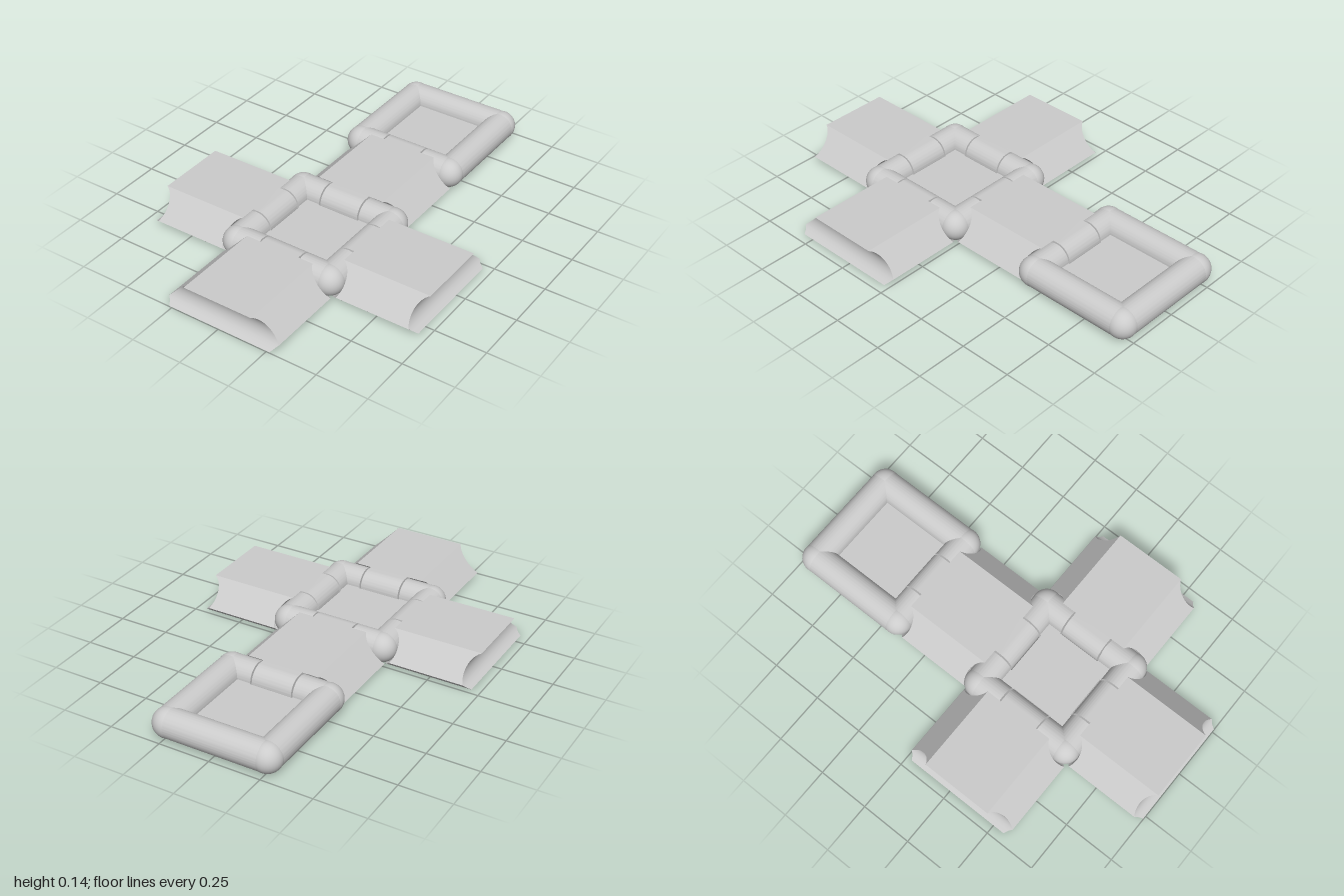
import * as THREE from 'three';
import { toCreasedNormals } from 'three/addons/utils/BufferGeometryUtils.js';

const R = 0.07;        // hinge tube radius, also half the thickness
const GAP = 0.075;     // clearance radius round a tube
const C = 0.245;       // frame centre to tube axis
const FAR = 0.733;     // frame centre to the outer hinge axis
const mat = new THREE.MeshStandardMaterial({ color: 0xcccccc });

function add(parent, name, geo) {
  const mesh = new THREE.Mesh(geo, mat);
  mesh.name = name;
  parent.add(mesh);
  return mesh;
}

// Extrudes an (outward, up) profile along z from z0 to z1
function bar(shape, z0, z1) {
  const geo = new THREE.ExtrudeGeometry(shape, { depth: z1 - z0, bevelEnabled: false, curveSegments: 28 });
  geo.translate(0, 0, z0);
  return toCreasedNormals(geo, 0.5);
}

// Tube with the edge of the floor joined to its inner side
function railShape() {
  const s = new THREE.Shape();
  s.moveTo(0.165, 0);
  s.lineTo(C, 0);
  s.absarc(C, R, R, -Math.PI / 2, Math.PI, false);
  s.lineTo(0.165, R);
  return s;
}

// Hollowed floor edge facing a knuckle
function lipShape() {
  const s = new THREE.Shape();
  s.moveTo(0.165, 0);
  s.lineTo(0.218, 0);
  s.absarc(C, R, GAP, Math.atan2(-R, -0.027) + 2 * Math.PI, Math.PI, true);
  s.lineTo(0.165, R);
  return s;
}

// Round hinge knuckle that runs flat into the flap
function knuckleShape() {
  const s = new THREE.Shape();
  s.moveTo(0.325, 0);
  s.lineTo(0.325, 2 * R);
  s.lineTo(C, 2 * R);
  s.absarc(C, R, R, Math.PI / 2, 1.5 * Math.PI, false);
  return s;
}

// Flap: stacked rectangles with bevelled sides and hollow ends
function flapGeometry() {
  const levels = [0, 0.0125];
  for (let i = 0; i <= 20; i++) levels.push(0.025 + (i / 20) * 0.115);
  const rings = levels.map((y) => {
    const w = y <= 0.025 ? 0.265 + y : 0.315 - y;
    const d = Math.sqrt(GAP * GAP - (y - R) ** 2);
    return [[C + d, y, -w], [FAR - d, y, -w], [FAR - d, y, w], [C + d, y, w]];
  });
  const pos = [];
  const tri = (...pts) => pts.forEach((p) => pos.push(...p));
  for (let i = 0; i + 1 < rings.length; i++) {
    for (let k = 0; k < 4; k++) {
      const n = (k + 1) % 4, lo = rings[i], hi = rings[i + 1];
      tri(lo[k], hi[n], lo[n]);
      tri(lo[k], hi[k], hi[n]);
    }
  }
  const b = rings[0], t = rings[rings.length - 1];
  tri(b[0], b[1], b[2]);
  tri(b[0], b[2], b[3]);
  tri(t[0], t[2], t[1]);
  tri(t[0], t[3], t[2]);
  const geo = new THREE.BufferGeometry();
  geo.setAttribute('position', new THREE.Float32BufferAttribute(pos, 3));
  return toCreasedNormals(geo, 0.5);
}

// Square tray with a tube rim; hinged sides get a gap and a knuckle
function frame(name, z, hinged) {
  const g = new THREE.Group();
  g.name = name;
  g.position.z = z;
  const floor = add(g, 'floor', new THREE.BoxGeometry(0.34, R, 0.34));
  floor.position.y = R / 2;
  for (let k = 0; k < 4; k++) {
    const side = new THREE.Group();
    side.name = 'side';
    side.rotation.y = k * Math.PI / 2;
    g.add(side);
    add(side, 'corner', new THREE.SphereGeometry(0.0715, 32, 20)).position.set(C, R, C);
    if (!hinged.includes(k)) {
      add(side, 'rim', bar(railShape(), -C, C));
      continue;
    }
    add(side, 'rim', bar(railShape(), -C, -0.108));
    add(side, 'rim', bar(railShape(), 0.108, C));
    add(side, 'hingeLip', bar(lipShape(), -0.108, 0.108));
    add(side, 'knuckle', bar(knuckleShape(), -0.1, 0.1));
    // Hinge pins reach into the rim at both ends of the knuckle
    for (const s of [-1, 1]) {
      const pin = add(side, 'hingePin', new THREE.SphereGeometry(0.035, 20, 12));
      pin.scale.z = 0.6;
      pin.position.set(C, R, s * 0.1);
    }
  }
  return g;
}

export function createModel() {
  const model = new THREE.Group();
  model.name = 'foldingBox';
  const base = frame('baseFrame', 0.292, [0, 1, 2, 3]);
  model.add(base);
  // Lid is hinged only on the side facing the back flap
  model.add(frame('lidFrame', -0.686, [3]));

  const flap = flapGeometry();
  ['leftFlap', 'backFlap', 'rightFlap', 'frontFlap'].forEach((name, k) => {
    add(base, name, flap).rotation.y = k * Math.PI / 2;
  });
  return model;
}
